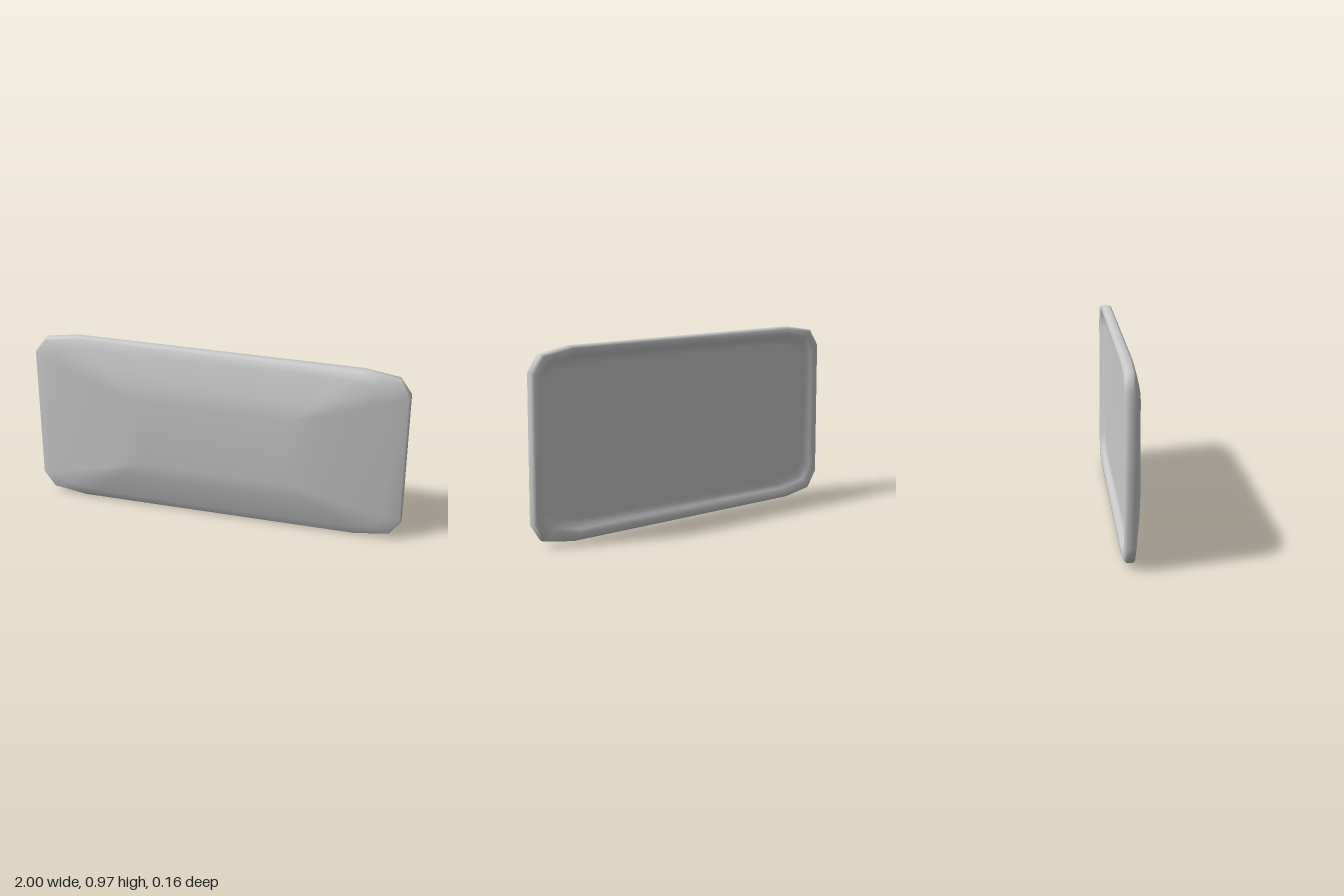
import * as THREE from 'three';
import { mergeVertices } from 'three/addons/utils/BufferGeometryUtils.js';

const HALF_H = 0.484;

// Chamfered outline, counter-clockwise from the front
function outline() {
  const q = [[1, 0.37], [0.94, 0.456], [0.76, HALF_H]];
  const r = [...q].reverse();
  return [
    ...q,
    ...r.map(([x, y]) => [-x, y]),
    ...q.map(([x, y]) => [-x, -y]),
    ...r.map(([x, y]) => [x, -y]),
  ];
}

// Outline pulled inwards by d at depth z
function insetRing(d, z) {
  return outline().map(([x, y]) => [x * (1 - d), y * (1 - d / HALF_H), z]);
}

// Ring on the domed front: t = 0 is the flat plateau, t = 1 the rim
function domeRing(t) {
  const z = 0.067 * (1 - Math.pow(t, 1.4));
  return insetRing(0.01, 0).map(([x, y]) => [
    THREE.MathUtils.lerp(Math.sign(x) * 0.4, x, t),
    THREE.MathUtils.lerp(Math.sign(y) * 0.19, y, t),
    z,
  ]);
}

// Skin consecutive rings and close both ends
function loft(rings) {
  const n = rings[0].length;
  const pos = rings.flat(2);
  const idx = [];
  for (let k = 0; k < rings.length - 1; k++) {
    for (let i = 0; i < n; i++) {
      const j = (i + 1) % n;
      const a = k * n + i, b = k * n + j, c = a + n, d = b + n;
      idx.push(a, c, d, a, d, b);
    }
  }
  const first = rings.length * n, last = first + 1, base = first - n;
  pos.push(0, 0, rings[0][0][2], 0, 0, rings[rings.length - 1][0][2]);
  for (let i = 0; i < n; i++) {
    const j = (i + 1) % n;
    idx.push(first, i, j, last, base + j, base + i);
  }
  let geo = new THREE.BufferGeometry();
  geo.setAttribute('position', new THREE.Float32BufferAttribute(pos, 3));
  geo.setIndex(idx);
  geo = mergeVertices(geo, 1e-5);
  // Drop triangles collapsed at the plateau corners
  const src = geo.index.array, keep = [];
  for (let i = 0; i < src.length; i += 3) {
    const [a, b, c] = [src[i], src[i + 1], src[i + 2]];
    if (a !== b && b !== c && c !== a) keep.push(a, b, c);
  }
  geo.setIndex(keep);
  geo.computeVertexNormals();
  return geo;
}

export function createModel() {
  const group = new THREE.Group();
  group.name = 'panel';

  const rings = [
    // domed front
    ...[0, 0.3, 0.6, 0.85, 1].map(domeRing),
    // rounded outer rim
    insetRing(0, -0.012),
    insetRing(0, -0.042),
    insetRing(0.012, -0.055),
    // back lip and shallow recess
    insetRing(0.035, -0.055),
    insetRing(0.055, -0.042),
    insetRing(0.075, -0.028),
    insetRing(0.1, -0.025),
  ];

  const shell = new THREE.Mesh(
    loft(rings),
    new THREE.MeshStandardMaterial({ color: 0xcccccc })
  );
  shell.name = 'domedPanel';
  shell.position.y = HALF_H;
  shell.rotation.y = 0.03; // slight turn to one side
  group.add(shell);
  return group;
}
